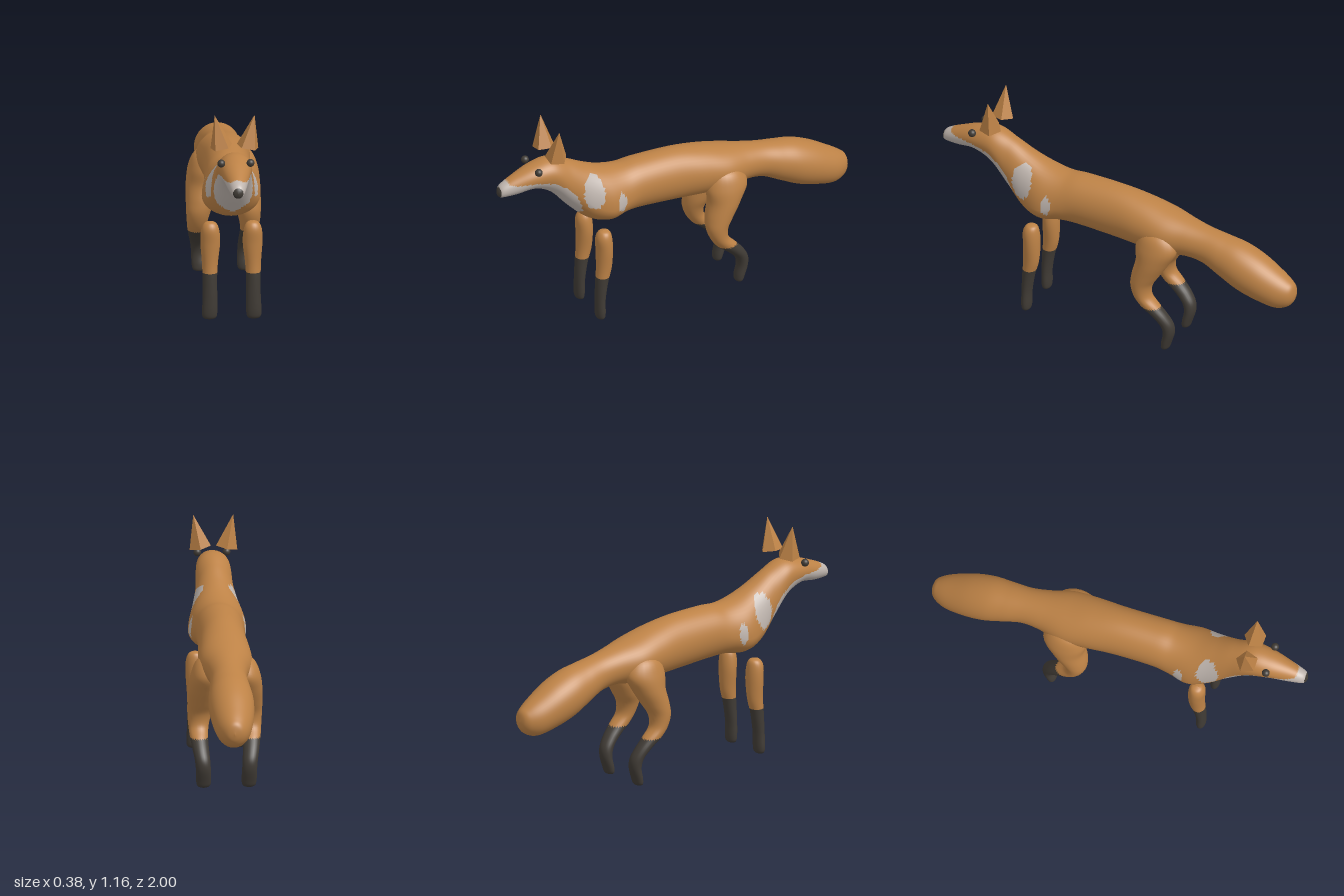
import * as THREE from 'three';

const material = (name, color) => {
  const m = new THREE.MeshStandardMaterial({ color });
  m.name = name;
  return m;
};

// Skins a smooth surface through rows of section values.
// place(row, angle) gives a point; paint(x, y, z) gives a material index per face.
function loft(rows, rings, sides, place, paint, count) {
  const columns = rows[0].map((_, k) =>
    new THREE.SplineCurve(rows.map((row, i) => new THREE.Vector2(i, row[k]))));
  const points = [];
  for (let i = 0; i <= rings; i++) {
    const row = columns.map((c) => c.getPoint(i / rings).y);
    for (let j = 0; j < sides; j++) points.push(place(row, (j / sides) * Math.PI * 2));
  }
  const faces = Array.from({ length: count }, () => []);
  const addFace = (a, b, c) => {
    const mid = [0, 1, 2].map((k) => (points[a][k] + points[b][k] + points[c][k]) / 3);
    faces[paint(...mid)].push(a, b, c);
  };
  for (let i = 0; i < rings; i++) {
    for (let j = 0; j < sides; j++) {
      const a = i * sides + j;
      const b = i * sides + ((j + 1) % sides);
      addFace(a, b, a + sides);
      addFace(b, b + sides, a + sides);
    }
  }
  const geometry = new THREE.BufferGeometry();
  geometry.setAttribute('position', new THREE.Float32BufferAttribute(points.flat(), 3));
  geometry.setIndex(faces.flat());
  let start = 0;
  faces.forEach((list, k) => {
    geometry.addGroup(start, list.length, k);
    start += list.length;
  });
  geometry.computeVertexNormals();
  return geometry;
}

// Straight-line lookup in [key, value] pairs with falling keys
function lookup(table, key) {
  for (let i = 1; i < table.length; i++) {
    const [k0, v0] = table[i - 1];
    const [k1, v1] = table[i];
    if (key >= k1) return v0 + (v1 - v0) * Math.min(1, (k0 - key) / (k0 - k1));
  }
  return 0;
}

// Body from nose to tail tip: z, top, bottom, half width, height of widest point (0 to 1)
const bodyRows = [
  [1.0, 0.838, 0.832, 0, 0.5],
  [0.992, 0.858, 0.813, 0.022, 0.5],
  [0.97, 0.88, 0.807, 0.036, 0.5],
  [0.9, 0.912, 0.807, 0.053, 0.5],
  [0.8, 0.947, 0.815, 0.074, 0.5],
  [0.7, 0.96, 0.765, 0.088, 0.55],
  [0.6, 0.922, 0.655, 0.098, 0.45],
  [0.5, 0.87, 0.565, 0.125, 0.36],
  [0.4, 0.828, 0.535, 0.147, 0.34],
  [0.3, 0.81, 0.547, 0.132, 0.42],
  [0.2, 0.815, 0.543, 0.123, 0.5],
  [0.0, 0.81, 0.53, 0.122, 0.5],
  [-0.15, 0.787, 0.522, 0.132, 0.5],
  [-0.28, 0.755, 0.515, 0.135, 0.5],
  [-0.4, 0.725, 0.53, 0.105, 0.5],
  [-0.5, 0.703, 0.515, 0.093, 0.5],
  [-0.6, 0.685, 0.465, 0.104, 0.5],
  [-0.7, 0.665, 0.415, 0.115, 0.5],
  [-0.8, 0.625, 0.383, 0.11, 0.5],
  [-0.9, 0.567, 0.363, 0.091, 0.5],
  [-0.96, 0.528, 0.38, 0.066, 0.5],
  [-0.99, 0.5, 0.413, 0.038, 0.5],
  [-1.0, 0.455, 0.45, 0, 0.5],
];

// Upper edge of the pale throat along z
const throatEdge = [
  [1.0, 0.89], [0.9, 0.872], [0.8, 0.87], [0.7, 0.845],
  [0.65, 0.81], [0.6, 0.76], [0.57, 0.7], [0.54, 0.6],
];

const inOval = (y, z, cy, cz, ry, rz) => ((y - cy) / ry) ** 2 + ((z - cz) / rz) ** 2 < 1;

// 0 coat, 1 pale fur, 2 dark fur
function paintBody(x, y, z) {
  if (z > 0.988) return 2;
  if (z > 0.945) return 1;
  if (z > 0.54 && y < lookup(throatEdge, z) && y > 0.59 + 0.7 * Math.abs(x)) return 1;
  if (inOval(y, z, 0.75, 0.5, 0.088, 0.056)) return 1;
  if (inOval(y, z, 0.665, 0.352, 0.055, 0.024)) return 1;
  return 0;
}

// Legs from top to paw: y, front z, back z, middle x, half width
const foreLegRows = [
  [0.515, 0.45, 0.44, 0.108, 0],
  [0.505, 0.473, 0.415, 0.108, 0.03],
  [0.47, 0.488, 0.404, 0.108, 0.046],
  [0.4, 0.486, 0.4, 0.107, 0.05],
  [0.3, 0.486, 0.405, 0.109, 0.041],
  [0.22, 0.491, 0.425, 0.11, 0.037],
  [0.12, 0.494, 0.442, 0.11, 0.037],
  [0.04, 0.494, 0.444, 0.112, 0.039],
  [0.01, 0.487, 0.45, 0.112, 0.03],
  [0.003, 0.468, 0.466, 0.112, 0],
];
const hindLegRows = [
  [0.69, -0.255, -0.265, 0.08, 0],
  [0.65, -0.18, -0.34, 0.085, 0.06],
  [0.58, -0.15, -0.375, 0.097, 0.079],
  [0.5, -0.155, -0.335, 0.105, 0.083],
  [0.42, -0.138, -0.285, 0.115, 0.075],
  [0.36, -0.135, -0.25, 0.127, 0.062],
  [0.3, -0.155, -0.25, 0.133, 0.052],
  [0.25, -0.19, -0.295, 0.133, 0.046],
  [0.2, -0.25, -0.338, 0.128, 0.042],
  [0.15, -0.297, -0.367, 0.121, 0.039],
  [0.1, -0.312, -0.37, 0.117, 0.038],
  [0.04, -0.302, -0.352, 0.115, 0.038],
  [0.01, -0.302, -0.34, 0.115, 0.03],
  [0.0, -0.319, -0.321, 0.115, 0],
];

export function createModel() {
  const model = new THREE.Group();
  model.name = 'fox';
  const coat = material('orange coat', 0xbd8246);
  const pale = material('pale fur', 0xbfb5ae);
  const dark = material('dark fur', 0x403b35);

  const add = (name, geometry, mat) => {
    const mesh = new THREE.Mesh(geometry, mat);
    mesh.name = name;
    model.add(mesh);
    return mesh;
  };

  // Head, torso and tail in one skin
  const placeBody = ([z, top, bottom, half, mid], a) => {
    const c = Math.cos(a);
    const y = bottom + (top - bottom) * mid;
    return [half * Math.sin(a), y + c * (c > 0 ? top - y : y - bottom), z];
  };
  add('body', loft(bodyRows, 176, 48, placeBody, paintBody, 3), [coat, pale, dark]);

  for (const side of [1, -1]) {
    const label = side > 0 ? 'left' : 'right';

    // Legs with dark socks
    const placeLeg = ([y, front, back, x, half], a) =>
      [side * x - half * Math.sin(a), y, (front + back) / 2 + ((front - back) / 2) * Math.cos(a)];
    const paintLeg = (x, y) => (y < 0.245 ? 1 : 0);
    add(label + 'FrontLeg', loft(foreLegRows, 54, 24, placeLeg, paintLeg, 2), [coat, dark]);
    add(label + 'HindLeg', loft(hindLegRows, 78, 24, placeLeg, paintLeg, 2), [coat, dark]);

    // Five-sided ear leaning outward
    const earGeometry = new THREE.ConeGeometry(0.058, 0.172, 5).toNonIndexed();
    earGeometry.rotateY(Math.PI);
    earGeometry.computeVertexNormals();
    const ear = add(label + 'Ear', earGeometry, coat);
    ear.position.set(side * 0.084, 1.075, 0.697);
    ear.rotation.z = -side * 0.2;

    // Eye
    const eye = add(label + 'Eye', new THREE.SphereGeometry(0.02, 20, 14), dark);
    eye.position.set(side * 0.074, 0.937, 0.8);
  }
  return model;
}
